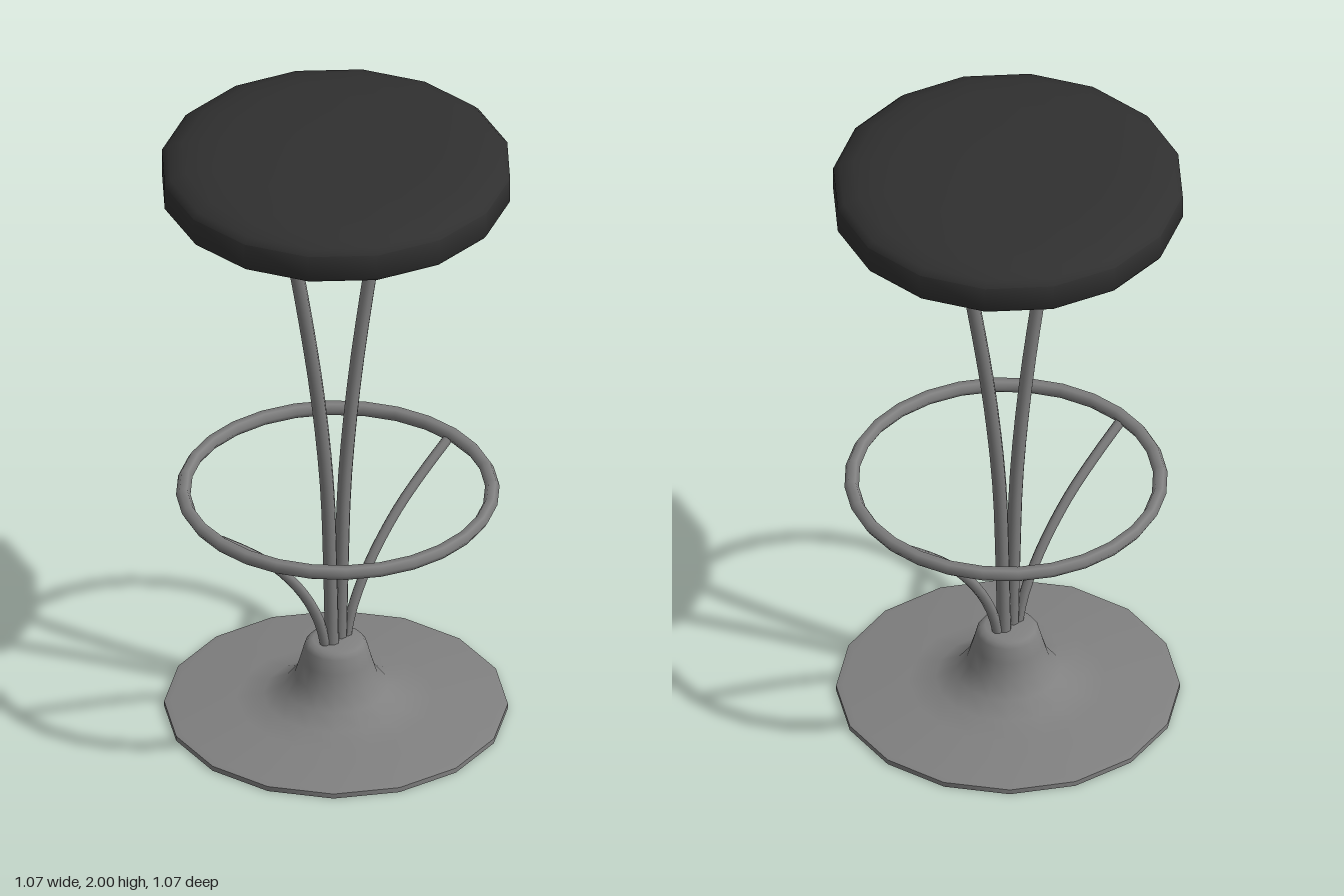
import * as THREE from 'three';
import { toCreasedNormals } from 'three/addons/utils/BufferGeometryUtils.js';

const metal = new THREE.MeshStandardMaterial({ color: 0x808080 });
const cushion = new THREE.MeshStandardMaterial({ color: 0x303030 });

// Turned part with 16 sides: smooth around, sharp at strong profile corners
function turned(name, profile, material, phi) {
  const points = profile.map(([r, y]) => new THREE.Vector2(r, y));
  const geometry = toCreasedNormals(new THREE.LatheGeometry(points, 16, phi), 0.8);
  const mesh = new THREE.Mesh(geometry, material);
  mesh.name = name;
  return mesh;
}

// Bent rod through the given points, with a flat cap on its upper end
function rod(name, points, radius) {
  const curve = new THREE.CatmullRomCurve3(points.map((p) => new THREE.Vector3(...p)));
  const group = new THREE.Group();
  group.name = name;
  const tube = new THREE.Mesh(new THREE.TubeGeometry(curve, 16, radius, 8), metal);
  tube.name = name + 'Tube';
  const cap = new THREE.Mesh(new THREE.CircleGeometry(radius, 8), metal);
  cap.name = name + 'Cap';
  const end = curve.getPoint(1);
  cap.position.copy(end);
  cap.lookAt(end.clone().add(curve.getTangent(1)));
  group.add(tube, cap);
  return group;
}

export function createModel() {
  const model = new THREE.Group();
  model.name = 'barStool';

  // Flared foot with a thin rim
  model.add(turned('base', [
    [0, 0], [0.52, 0], [0.52, 0.016], [0.5, 0.021], [0.3, 0.031], [0.22, 0.046], [0.16, 0.078],
    [0.125, 0.125], [0.108, 0.18], [0.096, 0.225], [0.086, 0.24], [0.07, 0.245], [0, 0.245],
  ], metal, 0.1));

  // Padded seat, slightly domed above and below
  model.add(turned('seat', [
    [0, 1.832], [0.25, 1.835], [0.45, 1.842], [0.525, 1.848], [0.533, 1.86], [0.533, 1.94],
    [0.515, 1.958], [0.47, 1.975], [0.4, 1.987], [0.3, 1.995], [0.15, 1.999], [0, 2],
  ], cushion, -0.04));

  // Foot ring
  const ring = new THREE.Mesh(new THREE.TorusGeometry(0.468, 0.022, 6, 28), metal);
  ring.name = 'footRing';
  ring.rotation.x = Math.PI / 2;
  ring.position.set(0, 0.787, 0.02);
  model.add(ring);

  // Two seat posts and two ring braces, each pair turned half round
  for (const [side, s] of [['left', 1], ['right', -1]]) {
    const at = (x, y, z) => [s * x, y, s * z];
    model.add(rod(side + 'Post', [
      at(0.016, 0.2, -0.014), at(0.022, 0.5, -0.014), at(0.033, 0.8, -0.018),
      at(0.065, 1.13, -0.028), at(0.115, 1.47, -0.044), at(0.177, 1.823, -0.066),
    ], 0.022));
    model.add(rod(side + 'Brace', [
      at(0.03, 0.2, -0.014), at(0.06, 0.33, -0.027), at(0.12, 0.46, -0.056),
      at(0.22, 0.6, -0.104), at(0.32, 0.7, -0.15), at(0.415, 0.782, -0.193),
    ], 0.016));
  }
  return model;
}
